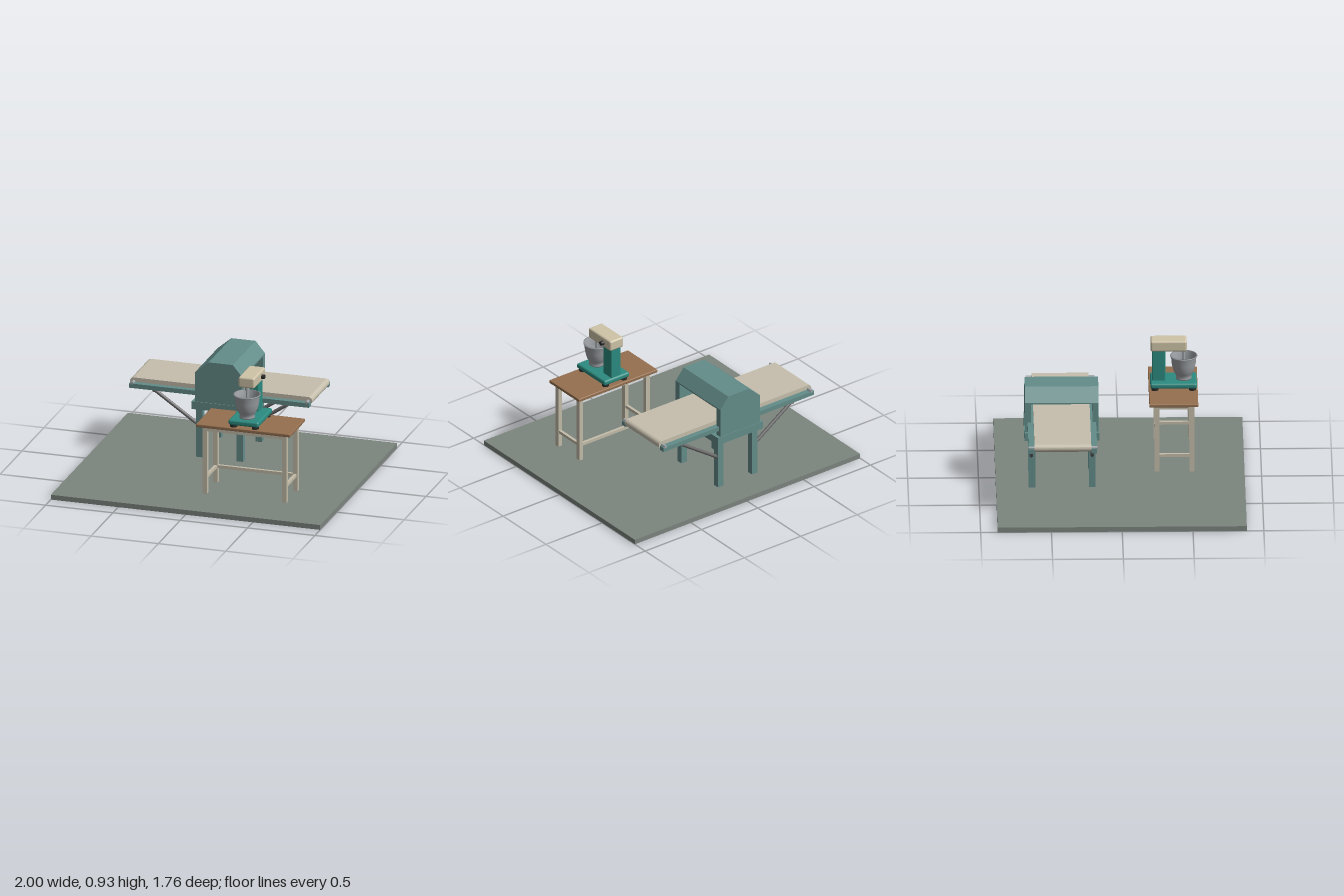
import * as THREE from 'three';
import { RoundedBoxGeometry } from 'three/addons/geometries/RoundedBoxGeometry.js';

const mat = (color, side = THREE.FrontSide) => new THREE.MeshStandardMaterial({ color, side });
const M = {
  floor: mat(0x7d857f), teal: mat(0x648d8a), green: mat(0x2c8b80), cream: mat(0xcfc4a8),
  belt: mat(0xc6bfad), wood: mat(0x96704f), leg: mat(0xc4bda9), steel: mat(0xa3a7aa),
  bowl: mat(0x9da1a5, THREE.DoubleSide), strut: mat(0x6b6b6b), dark: mat(0x2b2b2b),
};

function add(parent, name, geometry, material, x = 0, y = 0, z = 0) {
  const mesh = new THREE.Mesh(geometry, material);
  mesh.name = name;
  mesh.position.set(x, y, z);
  parent.add(mesh);
  return mesh;
}

// Box given by its extents on each axis; r > 0 rounds the edges
function box(parent, name, material, [x0, x1], [y0, y1], [z0, z1], r = 0) {
  const s = [x1 - x0, y1 - y0, z1 - z0];
  const g = r ? new RoundedBoxGeometry(...s, 3, r) : new THREE.BoxGeometry(...s);
  return add(parent, name, g, material, (x0 + x1) / 2, (y0 + y1) / 2, (z0 + z1) / 2);
}

// Cylinder between two points
function rod(parent, name, material, a, b, r, sides = 20) {
  const p = new THREE.Vector3(...a), q = new THREE.Vector3(...b);
  const d = q.clone().sub(p);
  const mesh = add(parent, name, new THREE.CylinderGeometry(r, r, d.length(), sides), material);
  mesh.position.copy(p).add(q).multiplyScalar(0.5);
  mesh.quaternion.setFromUnitVectors(new THREE.Vector3(0, 1, 0), d.normalize());
  return mesh;
}

// Side profile (x, y) extruded along z from z0 to z1
function slab(parent, name, material, shape, z0, z1) {
  const g = new THREE.ExtrudeGeometry(shape, { depth: z1 - z0, bevelEnabled: false, curveSegments: 16 });
  return add(parent, name, g, material, 0, 0, z0);
}

const polygon = (pts) => new THREE.Shape(pts.map(([x, y]) => new THREE.Vector2(x, y)));

const FLOOR = 0.036;

function makeTable() {
  const g = new THREE.Group();
  g.name = 'table';
  box(g, 'tableTop', M.wood, [-0.03, 0.67], [0.541, 0.565], [0.207, 0.553], 0.006);
  const xs = [[0.01, 0.043], [0.602, 0.635]], zs = [[0.245, 0.278], [0.492, 0.525]];
  for (const x of xs) {
    for (const z of zs) box(g, 'tableLeg', M.leg, x, [FLOOR, 0.541], z);
    // side rails
    const inner = [x[0] + 0.006, x[1] - 0.006];
    box(g, 'sideApron', M.leg, inner, [0.507, 0.541], [0.278, 0.492]);
    box(g, 'sideStretcher', M.leg, inner, [0.143, 0.165], [0.278, 0.492]);
  }
  for (const z of zs) box(g, 'longApron', M.leg, [0.043, 0.602], [0.507, 0.541], [z[0] + 0.006, z[1] - 0.006]);
  box(g, 'rearStretcher', M.leg, [0.043, 0.602], [0.143, 0.165], [0.251, 0.272]);
  return g;
}

function makeMixer() {
  const g = new THREE.Group();
  g.name = 'mixer';
  const cx = 0.32, bz = 0.455;
  for (const x of [0.24, 0.4]) for (const z of [0.25, 0.515])
    rod(g, 'mixerFoot', M.dark, [x, 0.565, z], [x, 0.585, z], 0.025);
  box(g, 'mixerBase', M.green, [0.208, 0.432], [0.582, 0.622], [0.218, 0.547], 0.014);
  box(g, 'mixerColumn', M.green, [0.277, 0.363], [0.615, 0.855], [0.23, 0.326], 0.008);
  box(g, 'mixerHead', M.cream, [0.26, 0.38], [0.845, 0.925], [0.22, 0.476], 0.014);
  rod(g, 'speedKnob', M.dark, [0.375, 0.882, 0.305], [0.402, 0.882, 0.305], 0.016);
  // drive shaft and beater
  rod(g, 'shaftCollar', M.steel, [cx, 0.828, bz], [cx, 0.847, bz], 0.018);
  rod(g, 'shaft', M.steel, [cx, 0.69, bz], [cx, 0.83, bz], 0.009);
  // bowl with foot ring, outer wall, lip and inner wall
  const profile = [[0, 0.621], [0.056, 0.621], [0.056, 0.632], [0.051, 0.645], [0.064, 0.663],
    [0.077, 0.695], [0.085, 0.735], [0.09, 0.788], [0.096, 0.79], [0.096, 0.797], [0.087, 0.797],
    [0.08, 0.735], [0.072, 0.698], [0.055, 0.665], [0, 0.653]];
  add(g, 'bowl', new THREE.LatheGeometry(profile.map(([x, y]) => new THREE.Vector2(x, y)), 32), M.bowl, cx, 0, bz);
  return g;
}

function makeSheeter() {
  const g = new THREE.Group();
  g.name = 'doughSheeter';
  const zBack = -0.675, zFront = -0.155, zMid = (zBack + zFront) / 2;
  const x0 = -0.265, x1 = 0.085;

  // side plates and the chamfered hood that joins them
  const hood = [[x1, 0.68], [0.015, 0.765], [-0.165, 0.765], [x0, 0.68]];
  slab(g, 'hood', M.teal, polygon([[x0, 0.67], [x1, 0.67], ...hood]), zBack + 0.042, zFront - 0.042);
  const plate = polygon([[x0, 0.405], [x1, 0.405], ...hood]);
  slab(g, 'backPlate', M.teal, plate, zBack, zBack + 0.042);
  slab(g, 'frontPlate', M.teal, plate, zFront - 0.042, zFront);

  // lower frame ring
  const fy = [0.402, 0.46];
  for (const z of [[-0.68, -0.625], [-0.205, -0.15]]) box(g, 'frameSide', M.teal, [-0.29, 0.11], fy, z);
  for (const x of [[-0.29, -0.235], [0.055, 0.11]]) box(g, 'frameEnd', M.teal, x, fy, [-0.625, -0.205]);

  // legs
  for (const x of [[x0, -0.217], [0.037, x1]]) for (const z of [[-0.649, -0.601], [-0.223, -0.177]])
    box(g, 'sheeterLeg', M.teal, x, [FLOOR, 0.41], z);

  // pressing roller
  rod(g, 'upperRoller', M.steel, [-0.09, 0.636, -0.64], [-0.09, 0.636, -0.19], 0.036, 32);

  // conveyor belt with rounded ends
  const r = 0.029, by = 0.536, bl = -0.768 + r, br = 0.585 - r;
  const loop = new THREE.Shape();
  loop.moveTo(bl, by - r);
  loop.lineTo(br, by - r);
  loop.absarc(br, by, r, -Math.PI / 2, Math.PI / 2, false);
  loop.lineTo(bl, by + r);
  loop.absarc(bl, by, r, Math.PI / 2, Math.PI * 1.5, false);
  slab(g, 'conveyorBelt', M.belt, loop, zMid - 0.2, zMid + 0.2);
  for (const x of [bl, br]) rod(g, 'beltAxle', M.steel, [x, by, zMid - 0.243], [x, by, zMid + 0.243], 0.011);

  // rails and folding struts, mirrored front to back
  for (const s of [-1, 1]) {
    const edges = [zMid + s * 0.2, zMid + s * 0.242].sort((a, b) => a - b);
    box(g, 'beltRail', M.teal, [-0.762, 0.575], [0.5, 0.533], edges);
    const z = zMid + s * 0.215;
    rod(g, 'leftStrut', M.strut, [0.07, 0.27, z], [0.41, 0.5, z], 0.013);
    rod(g, 'rightStrut', M.strut, [-0.25, 0.27, z], [-0.585, 0.5, z], 0.013);
  }
  for (const x of [-0.58, 0.405]) rod(g, 'strutCrossBar', M.strut, [x, 0.496, zMid - 0.235], [x, 0.496, zMid + 0.235], 0.01);
  return g;
}

export function createModel() {
  const model = new THREE.Group();
  model.name = 'bakeryCorner';
  box(model, 'floor', M.floor, [-1, 1], [0, FLOOR], [-0.88, 0.88]);
  model.add(makeTable(), makeMixer(), makeSheeter());
  return model;
}
